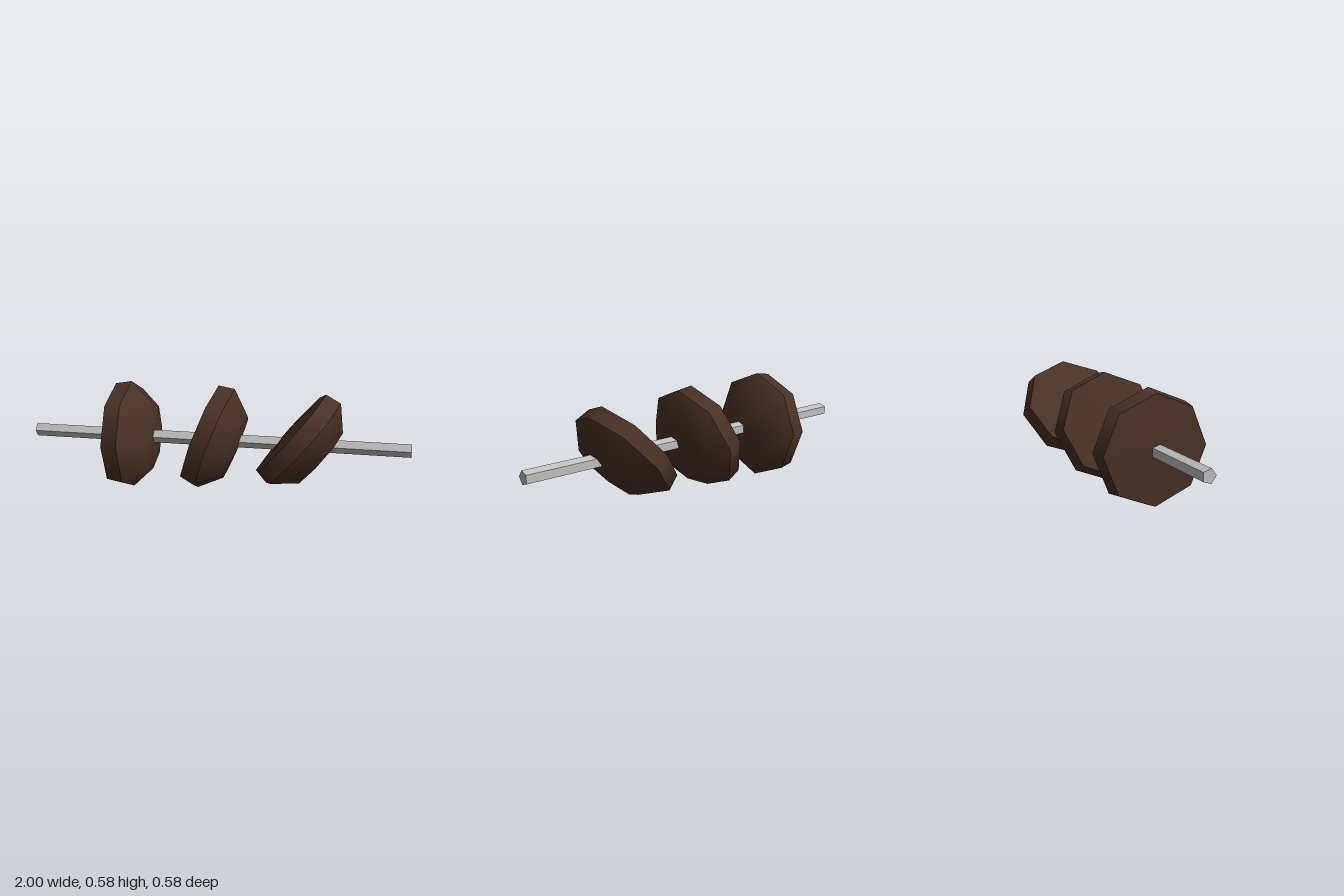
import * as THREE from 'three';

const AXIS_Y = 0.2925;
const cocoa = new THREE.MeshStandardMaterial({ color: 0x4a3226 });
cocoa.name = 'dark brown';
const steel = new THREE.MeshStandardMaterial({ color: 0xc0c0c0, flatShading: true });
steel.name = 'light grey';

// Each band of the cap profile [radius, height] is smooth in itself, with creases between bands
const bands = {
  base: [[0, -0.105], [0.275, -0.085]],
  rim: [[0.275, -0.085], [0.29, 0]],
  dome: [[0.29, 0], [0.183, 0.11], [0, 0.125]],
};

function makeCap(name, x, tiltDegrees) {
  const cap = new THREE.Group();
  cap.name = name;
  for (const [part, profile] of Object.entries(bands)) {
    const points = profile.map(([r, h]) => new THREE.Vector2(r, h));
    const mesh = new THREE.Mesh(new THREE.LatheGeometry(points, 8), cocoa);
    mesh.name = part;
    cap.add(mesh);
  }
  cap.position.set(x, AXIS_Y, 0);
  cap.rotation.z = -THREE.MathUtils.degToRad(90 + tiltDegrees);
  return cap;
}

export function createModel() {
  const model = new THREE.Group();
  model.name = 'discsOnRod';

  // Five-sided rod along x
  const rodGeometry = new THREE.CylinderGeometry(0.0363, 0.0363, 2, 5);
  rodGeometry.rotateZ(-Math.PI / 2);
  const rod = new THREE.Mesh(rodGeometry, steel);
  rod.name = 'rod';
  rod.position.y = AXIS_Y;
  model.add(rod);

  // Three domed caps, each leaning further than the last
  ['rightCap', 'middleCap', 'leftCap'].forEach((name, i) => {
    model.add(makeCap(name, -0.458 + i * 0.456, i * 20));
  });
  return model;
}
